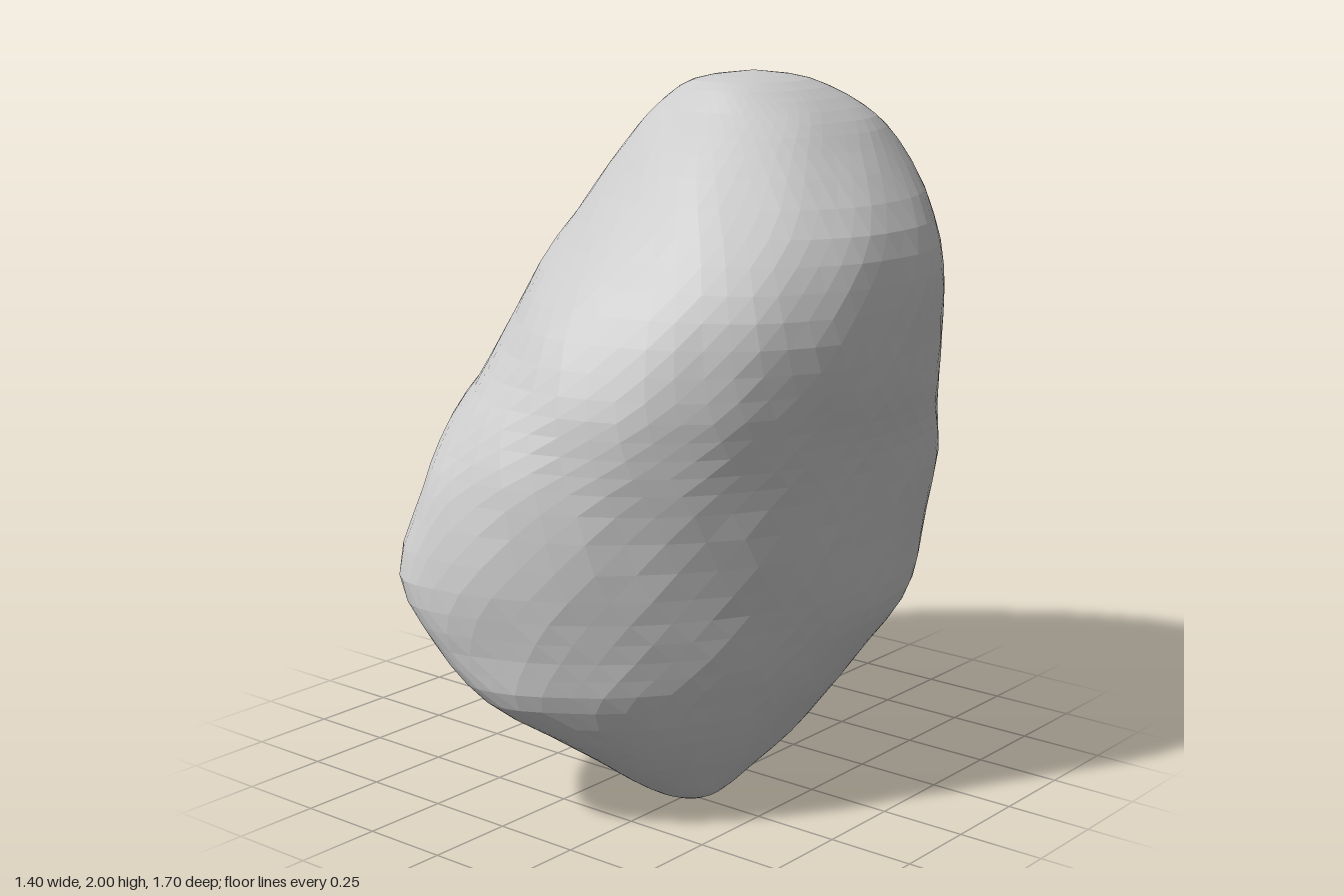
import * as THREE from 'three';

// Cross-sections from top to bottom. Each holds the height and the four
// extremes of the outline: left x,z | front x,z | right x,z | back x,z
const SECTIONS = [
  [2.00, 0.08, -0.25, 0.08, -0.25, 0.08, -0.25, 0.08, -0.25],
  [1.975, -0.08, -0.25, 0.08, -0.07, 0.23, -0.26, 0.08, -0.41],
  [1.90, -0.20, -0.30, 0.09, 0.03, 0.37, -0.27, 0.08, -0.56],
  [1.80, -0.29, -0.35, 0.10, 0.145, 0.48, -0.25, 0.05, -0.68],
  [1.60, -0.44, -0.40, 0.10, 0.32, 0.65, -0.18, -0.03, -0.76],
  [1.40, -0.56, -0.43, 0.09, 0.50, 0.70, -0.15, -0.10, -0.81],
  [1.20, -0.65, -0.46, 0.02, 0.63, 0.69, -0.12, -0.15, -0.84],
  [1.05, -0.70, -0.45, -0.07, 0.71, 0.67, -0.10, -0.16, -0.85],
  [0.90, -0.63, -0.36, -0.15, 0.78, 0.66, -0.10, -0.12, -0.82],
  [0.67, -0.485, 0.22, -0.19, 0.85, 0.645, -0.05, 0.12, -0.68],
  [0.50, -0.31, 0.40, -0.10, 0.83, 0.62, 0.00, 0.24, -0.55],
  [0.36, -0.18, 0.40, 0.02, 0.78, 0.56, 0.08, 0.26, -0.38],
  [0.20, -0.06, 0.33, 0.18, 0.58, 0.47, 0.18, 0.26, -0.20],
  [0.10, 0.04, 0.30, 0.23, 0.45, 0.41, 0.23, 0.26, -0.02],
  [0.03, 0.15, 0.27, 0.25, 0.35, 0.35, 0.26, 0.26, 0.14],
  [0.00, 0.26, 0.26, 0.26, 0.26, 0.26, 0.26, 0.26, 0.26],
];
// Fullness of each quarter by height (2 is an ellipse):
// height | right front | left front | left back | right back
const FULLNESS = [
  [0.00, 2.00, 2.1, 2.0, 2.2],
  [0.35, 1.65, 2.2, 1.9, 2.3],
  [0.60, 1.75, 2.2, 1.8, 2.4],
  [0.90, 1.95, 2.0, 2.4, 2.4],
  [1.15, 2.10, 1.85, 2.4, 2.1],
  [1.60, 2.30, 2.0, 2.2, 2.0],
  [2.01, 2.30, 2.2, 2.2, 2.3],
];
const ROWS = 45, COLS = 52;

// A rib is the smooth curve through one extreme of every section
const rib = (k) => new THREE.CatmullRomCurve3(
  SECTIONS.map((s) => new THREE.Vector3(s[k], s[0], s[k + 1])), false, 'catmullrom', 0.5);

function fullness(y, quarter) {
  const i = Math.max(1, FULLNESS.findIndex((f) => f[0] > y));
  const [lo, hi] = [FULLNESS[i - 1], FULLNESS[i]];
  return THREE.MathUtils.mapLinear(y, lo[0], hi[0], lo[quarter + 1], hi[quarter + 1]);
}

// Low, uneven bumps that give the worn stone its faint facets
const bumps = (x, y, z) =>
  0.006 * Math.sin(9 * x + 5 * y + 2 * z) * Math.sin(7 * z - 6 * y) +
  0.004 * Math.sin(17 * x - 13 * z + 4 * y) * Math.sin(15 * y + 8 * z);

function stoneGeometry() {
  const [left, front, right, back] = [1, 3, 5, 7].map(rib);
  const hollow = new THREE.Vector3(-0.15, 0.55, -0.15);
  const positions = [], index = [];

  for (let i = 0; i <= ROWS; i++) {
    const t = i / ROWS;
    const [L, F, R, B] = [left, front, right, back].map((c) => c.getPoint(t));
    const y = L.y;
    const quarters = [[R, F], [L, F], [L, B], [R, B]];

    for (let j = 0; j < COLS; j++) {
      // Rows are staggered by half a step to avoid a regular grid
      const a = ((j + (i % 2) * 0.5) / COLS) * Math.PI * 2;
      const q = Math.floor(a / (Math.PI / 2)) % 4;
      const [side, end] = quarters[q];
      const n = fullness(y, q);
      const u = Math.pow(Math.abs(Math.cos(a)), 2 / n);
      const v = Math.pow(Math.abs(Math.sin(a)), 2 / n);
      const p = new THREE.Vector3(
        end.x + (side.x - end.x) * u, y, side.z + (end.z - side.z) * v);

      if (i > 0 && i < ROWS) {
        const b = bumps(p.x, p.y, p.z) * Math.min(1, 6 * t, 6 * (1 - t));
        p.x += b * Math.cos(a);
        p.z += b * Math.sin(a);
        // Hollow under the overhang
        const dent = 0.06 * Math.exp(-p.distanceToSquared(hollow) / 0.06);
        p.x += dent * 0.7;
        p.y += dent * 0.4;
        p.z += dent * 0.6;
      }
      positions.push(p.x, p.y, p.z);
    }
  }

  for (let i = 0; i < ROWS; i++) {
    for (let j = 0; j < COLS; j++) {
      const k = (j + 1) % COLS;
      const a = i * COLS + j, b = i * COLS + k;
      const c = a + COLS, d = b + COLS;
      // The diagonal follows the stagger; end rows close to a point
      const faces = i % 2 ? [[a, b, d], [a, d, c]] : [[a, b, c], [b, d, c]];
      if (i === 0) index.push(a, d, c);
      else if (i === ROWS - 1) index.push(a, b, c);
      else faces.forEach((f) => index.push(...f));
    }
  }

  const geometry = new THREE.BufferGeometry();
  geometry.setAttribute('position', new THREE.Float32BufferAttribute(positions, 3));
  geometry.setIndex(index);
  geometry.computeVertexNormals();
  return geometry;
}

export function createModel() {
  const group = new THREE.Group();
  group.name = 'rock';
  const stone = new THREE.Mesh(stoneGeometry(),
    new THREE.MeshStandardMaterial({ color: 0xcccccc, flatShading: true }));
  stone.name = 'stone';
  group.add(stone);
  return group;
}
